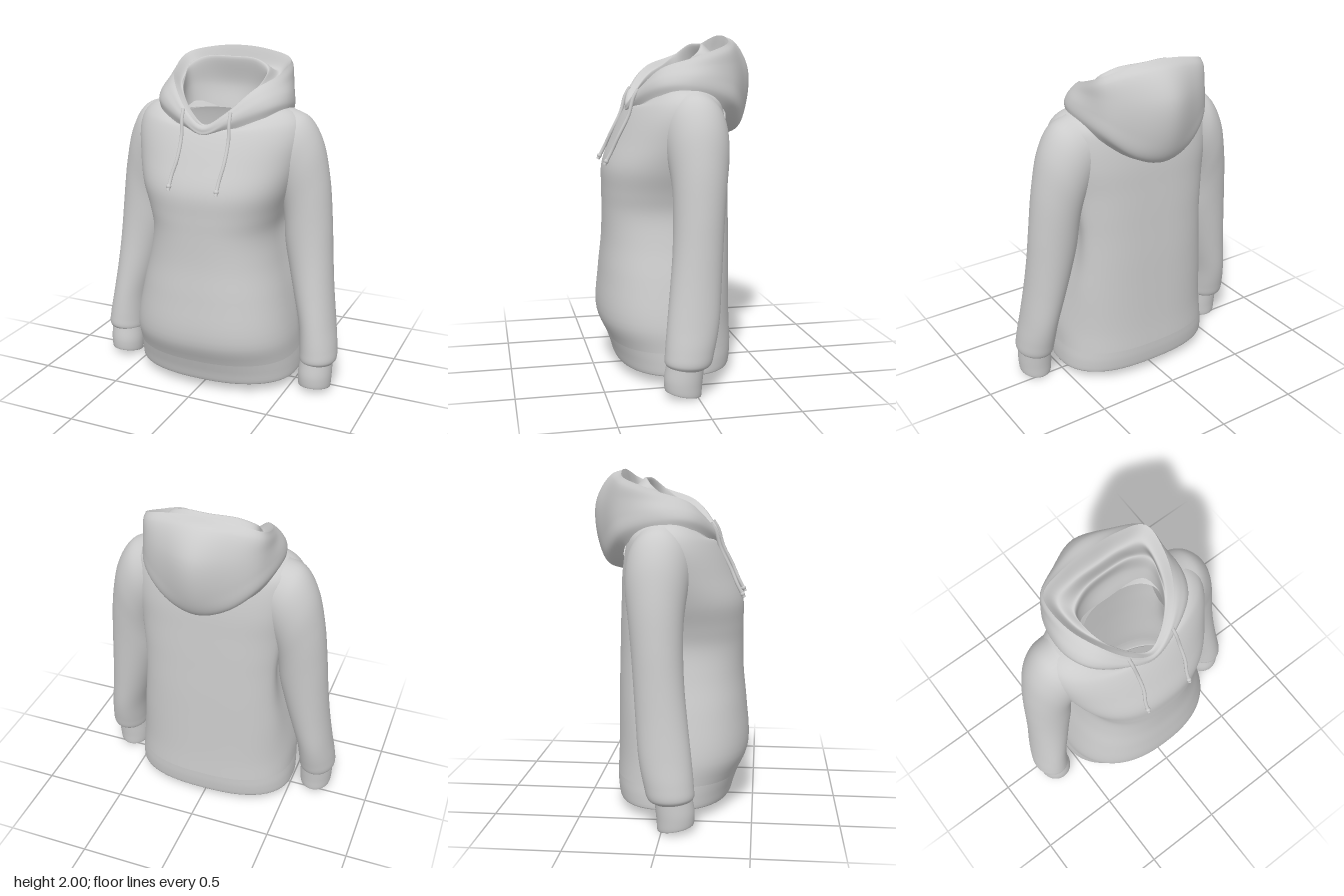
import * as THREE from 'three';

const material = new THREE.MeshStandardMaterial({ color: 0xcccccc, roughness: 0.9, side: THREE.DoubleSide });
const V = (x, y, z) => new THREE.Vector3(x, y, z);

// Smooth skin through closed rings (equal point counts), ordered front -> +x -> back
function loft(name, rings, rows) {
  const n = rings[0].length;
  const columns = rings[0].map((_, j) =>
    new THREE.CatmullRomCurve3(rings.map(r => r[j])).getPoints(rows));
  const pos = [], index = [];
  for (let i = 0; i <= rows; i++) {
    for (let j = 0; j < n; j++) {
      pos.push(...columns[j][i].toArray());
      if (i === rows) continue;
      const a = i * n + j, b = i * n + (j + 1) % n;
      index.push(a, b, b + n, a, b + n, a + n);
    }
  }
  const g = new THREE.BufferGeometry();
  g.setAttribute('position', new THREE.Float32BufferAttribute(pos, 3));
  g.setIndex(index);
  g.computeVertexNormals();
  const mesh = new THREE.Mesh(g, material);
  mesh.name = name;
  return mesh;
}

// Body ring: height, half width at side and back, front z, back z,
// squareness of front and back (smaller is squarer), drop of the front
function bodyRing([y, w, wBack, front, back, pFront, pBack, drop = 0]) {
  const mid = (front + back) / 2 - 0.02, ring = [];
  for (let j = 0; j < 72; j++) {
    const a = j / 72 * Math.PI * 2, s = Math.sin(a), c = Math.cos(a);
    const p = c > 0 ? pFront : pBack;
    const width = THREE.MathUtils.lerp(w, wBack, THREE.MathUtils.smoothstep(-c, 0, 0.6));
    const z = Math.abs(c) ** p * (c > 0 ? front - mid : back - mid);
    ring.push(V(width * Math.sign(s) * Math.abs(s) ** p, y - drop * Math.max(0, c) ** 2, mid + z));
  }
  return ring;
}

// Sleeve ring: outer x, y, inner x, y, front z, back z, tilt of the front
function sleeveRing([ox, oy, ix, iy, front, back, tilt = 0]) {
  const ring = [];
  for (let j = 0; j < 40; j++) {
    const a = j / 40 * Math.PI * 2, s = Math.sin(a), c = Math.cos(a);
    ring.push(V((ox + ix) / 2 + s * (ox - ix) / 2,
      (oy + iy) / 2 + s * (oy - iy) / 2 + c * tilt,
      (front + back) / 2 + c * (front - back) / 2));
  }
  return ring;
}

// Hood ring: points from centre front to centre back on +x, mirrored to -x
function hoodRing(half) {
  const side = half.map(p => V(...p));
  const other = side.slice(1, -1).reverse().map(p => V(-p.x, p.y, p.z));
  return new THREE.CatmullRomCurve3([...side, ...other], true).getPoints(72).slice(0, 72);
}

export function createModel() {
  const group = new THREE.Group();
  group.name = 'hoodedSweatshirt';

  // Body with shoulders, open at hem and neck
  group.add(loft('body', [
    [0.2, 0.505, 0.5, 0.41, -0.325, 0.85, 0.78],
    [0.34, 0.5, 0.495, 0.468, -0.318, 0.85, 0.76],
    [0.6, 0.452, 0.48, 0.455, -0.312, 0.85, 0.72],
    [0.8, 0.405, 0.46, 0.435, -0.308, 0.85, 0.68],
    [0.98, 0.38, 0.455, 0.43, -0.302, 0.85, 0.66],
    [1.1, 0.405, 0.46, 0.43, -0.298, 0.85, 0.65],
    [1.24, 0.455, 0.47, 0.425, -0.292, 0.88, 0.65],
    [1.4, 0.5, 0.485, 0.362, -0.284, 0.92, 0.65],
    [1.54, 0.52, 0.49, 0.295, -0.265, 0.92, 0.68],
    [1.62, 0.5, 0.48, 0.262, -0.245, 0.93, 0.72, 0.03],
    [1.67, 0.45, 0.44, 0.25, -0.22, 0.95, 0.8, 0.08],
    [1.695, 0.38, 0.38, 0.245, -0.19, 0.95, 0.85, 0.12],
    [1.69, 0.29, 0.29, 0.238, -0.16, 0.9, 0.85, 0.13],
    [1.64, 0.25, 0.25, 0.23, -0.14, 0.9, 0.85, 0.1],
  ].map(bodyRing), 70));

  // Hem band with a small turned-in edge
  group.add(loft('hemBand', [
    [0.08, 0.495, 0.49, 0.35, -0.3, 0.85, 0.78],
    [0.062, 0.508, 0.503, 0.362, -0.31, 0.85, 0.78],
    [0.13, 0.51, 0.505, 0.385, -0.322, 0.85, 0.78],
    [0.2, 0.505, 0.5, 0.41, -0.325, 0.85, 0.78],
  ].map(bodyRing), 12));

  // Sleeves and cuffs, mirrored
  for (const side of [1, -1]) {
    const arm = new THREE.Group();
    arm.name = side > 0 ? 'leftSleeve' : 'rightSleeve';
    arm.scale.x = side;
    arm.add(loft('sleeve', [
      [0.75, 0.175, 0.56, 0.175, 0.17, -0.04, 0.01],
      [0.768, 0.2, 0.55, 0.19, 0.182, -0.075, 0.01],
      [0.765, 0.28, 0.545, 0.25, 0.18, -0.1],
      [0.745, 0.42, 0.53, 0.4, 0.165, -0.13],
      [0.718, 0.64, 0.485, 0.58, 0.14, -0.15],
      [0.7, 0.84, 0.445, 0.74, 0.12, -0.165],
      [0.685, 1.04, 0.41, 0.9, 0.11, -0.18],
      [0.655, 1.3, 0.4, 1.03, 0.11, -0.2],
      [0.6, 1.52, 0.39, 1.12, 0.125, -0.22],
      [0.52, 1.645, 0.36, 1.2, 0.14, -0.225],
      [0.42, 1.69, 0.32, 1.28, 0.14, -0.215],
    ].map(sleeveRing), 56));
    arm.add(loft('cuff', [
      [0.728, 0.05, 0.568, 0.045, 0.165, -0.005, 0.02],
      [0.742, 0.024, 0.555, 0.02, 0.178, -0.022, 0.02],
      [0.75, 0.09, 0.547, 0.09, 0.185, -0.03, 0.015],
      [0.75, 0.185, 0.555, 0.185, 0.172, -0.04, 0.01],
    ].map(sleeveRing), 16));
    group.add(arm);
  }

  // Hood: outer shell hanging behind the neck, then the lining folded inside
  const rim = [[0, 1.61, 0.27], [0.12, 1.68, 0.235], [0.25, 1.81, 0.12], [0.335, 1.875, -0.06],
    [0.335, 1.945, -0.24], [0.18, 1.985, -0.28], [0, 2, -0.285]];
  group.add(loft('hoodShell', [
    [[0, 1.545, 0.26], [0.15, 1.59, 0.24], [0.33, 1.66, 0.14], [0.4, 1.68, -0.02],
      [0.33, 1.58, -0.23], [0.17, 1.46, -0.27], [0, 1.4, -0.275]],
    [[0, 1.56, 0.285], [0.15, 1.63, 0.255], [0.34, 1.71, 0.14], [0.405, 1.72, -0.03],
      [0.35, 1.64, -0.27], [0.19, 1.5, -0.36], [0, 1.44, -0.385]],
    [[0, 1.575, 0.285], [0.145, 1.65, 0.255], [0.32, 1.75, 0.14], [0.395, 1.77, -0.05],
      [0.345, 1.73, -0.28], [0.19, 1.63, -0.39], [0, 1.58, -0.45]],
    [[0, 1.59, 0.285], [0.135, 1.665, 0.25], [0.29, 1.785, 0.13], [0.37, 1.82, -0.06],
      [0.345, 1.83, -0.27], [0.18, 1.81, -0.39], [0, 1.81, -0.462]],
    [[0, 1.6, 0.28], [0.128, 1.675, 0.245], [0.27, 1.8, 0.125], [0.353, 1.85, -0.06],
      [0.345, 1.905, -0.258], [0.18, 1.945, -0.335], [0, 1.965, -0.37]],
    rim,
  ].map(hoodRing), 40));
  group.add(loft('hoodLining', [
    rim,
    [[0, 1.605, 0.25], [0.1, 1.67, 0.215], [0.22, 1.78, 0.1], [0.285, 1.82, -0.06],
      [0.28, 1.87, -0.2], [0.16, 1.88, -0.235], [0, 1.88, -0.24]],
    [[0, 1.61, 0.24], [0.095, 1.665, 0.205], [0.205, 1.77, 0.1], [0.245, 1.83, 0],
      [0.25, 1.9, -0.09], [0.16, 1.945, -0.135], [0, 1.95, -0.15]],
    [[0, 1.58, 0.235], [0.11, 1.62, 0.21], [0.205, 1.69, 0.1], [0.245, 1.73, 0],
      [0.235, 1.77, -0.09], [0.14, 1.78, -0.15], [0, 1.78, -0.17]],
    [[0, 1.54, 0.23], [0.12, 1.56, 0.205], [0.21, 1.6, 0.1], [0.25, 1.62, 0],
      [0.22, 1.63, -0.09], [0.12, 1.64, -0.13], [0, 1.64, -0.135]],
  ].map(hoodRing), 36));

  // Drawstrings with knotted ends
  for (const [name, top, mid, end] of [
    ['leftDrawstring', 0.155, 0.168, 0.152], ['rightDrawstring', -0.14, -0.125, -0.145]]) {
    const path = new THREE.CatmullRomCurve3([
      V(top, 1.69, 0.235), V(top + 0.005, 1.64, 0.265), V(mid, 1.54, 0.295),
      V(mid, 1.42, 0.355), V(end + 0.003, 1.33, 0.395), V(end, 1.255, 0.435)]);
    const string = new THREE.Mesh(new THREE.TubeGeometry(path, 32, 0.011, 8), material);
    string.name = name;
    const knot = new THREE.Mesh(new THREE.SphereGeometry(0.015, 10, 8), material);
    knot.name = 'stringKnot';
    knot.position.set(end, 1.275, 0.425);
    string.add(knot);
    group.add(string);
  }
  return group;
}
